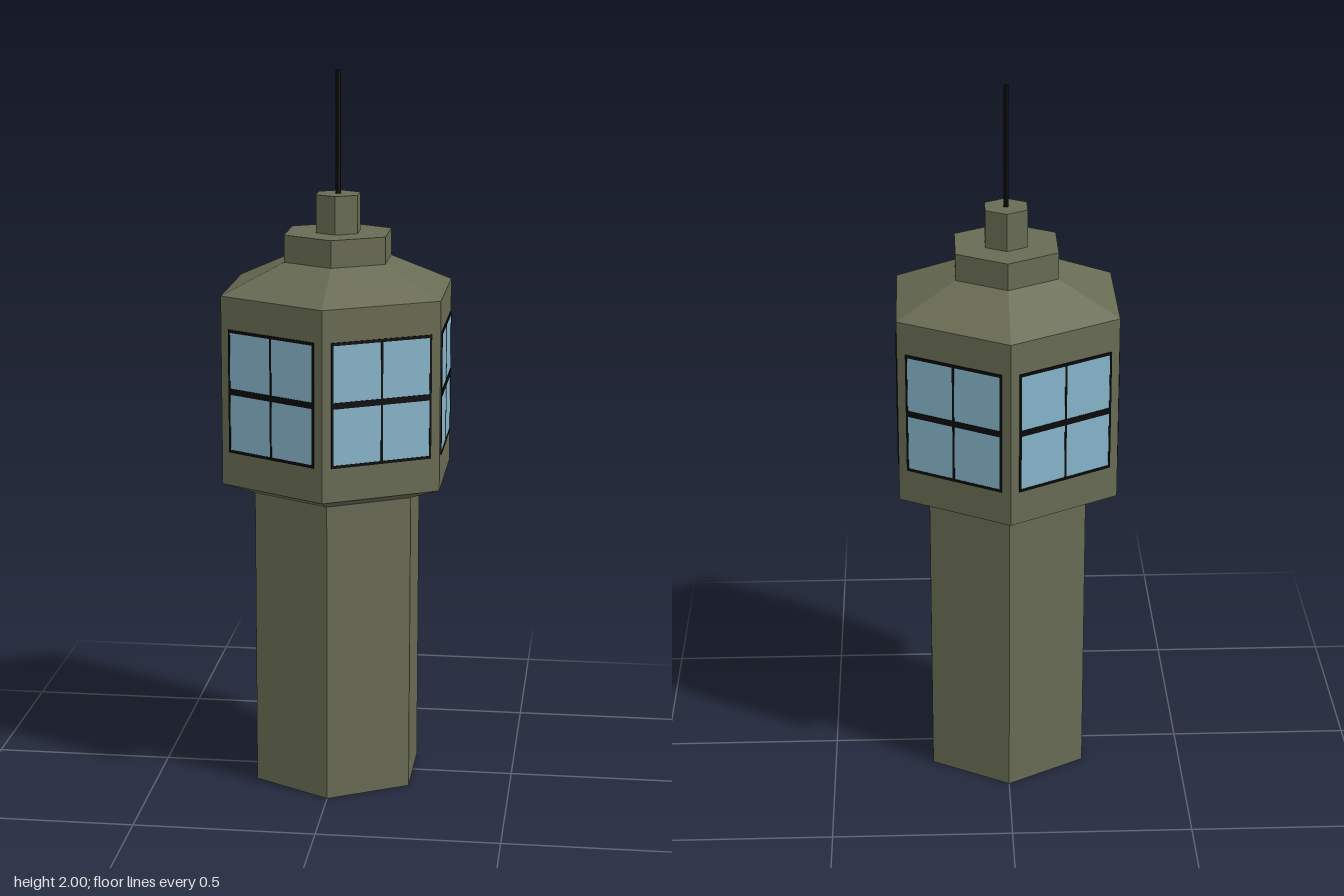
import * as THREE from 'three';

const SIDES = 6;
const mat = (color) => new THREE.MeshStandardMaterial({ color, flatShading: true });

export function createModel() {
  const tower = new THREE.Group();
  tower.name = 'controlTower';
  const olive = mat(0x686b53), black = mat(0x0a0a0a), blue = mat(0x87b5ca);

  // Hexagonal shell from a [radius, height] profile, corners on the z axis
  const shell = (name, profile, material = olive) => {
    const points = profile.map(([r, y]) => new THREE.Vector2(r, y));
    const mesh = new THREE.Mesh(new THREE.LatheGeometry(points, SIDES), material);
    mesh.name = name;
    tower.add(mesh);
  };

  shell('shaft', [[0, 0], [0.25, 0], [0.25, 0.845]]);
  shell('cabinFlare', [[0.25, 0.845], [0.345, 0.88]]);
  shell('cabinWall', [[0.345, 0.88], [0.345, 1.405]]);
  shell('roof', [[0.345, 1.405], [0.16, 1.485]]);
  shell('roofCollar', [[0.16, 1.485], [0.16, 1.56], [0, 1.56]]);
  shell('roofCap', [[0.066, 1.56], [0.066, 1.665], [0, 1.665]]);
  shell('antenna', [[0.008, 1.665], [0.008, 2], [0, 2]], black);

  // One window per wall, built facing +z and turned into place
  const apothem = 0.345 * Math.cos(Math.PI / SIDES);
  for (let i = 0; i < SIDES; i++) {
    const window = new THREE.Group();
    window.name = 'window';
    const box = (name, w, h, x, y, front, material) => {
      const depth = 0.008; // back of the box sinks into the wall
      const mesh = new THREE.Mesh(new THREE.BoxGeometry(w, h, depth), material);
      mesh.position.set(x, y, apothem + front - depth / 2);
      mesh.name = name;
      window.add(mesh);
    };
    box('glass', 0.284, 0.334, 0, 0, 0.002, blue);
    for (const s of [-1, 1]) {
      box('frameSide', 0.006, 0.342, s * 0.143, 0, 0.003, black);
      box('frameRail', 0.292, 0.008, 0, s * 0.167, 0.003, black);
    }
    box('verticalBar', 0.006, 0.334, 0, 0, 0.003, black);
    box('horizontalBar', 0.286, 0.017, 0, 0, 0.0035, black);
    window.position.y = 1.145;
    window.rotation.y = ((i + 0.5) * 2 * Math.PI) / SIDES;
    tower.add(window);
  }
  return tower;
}
